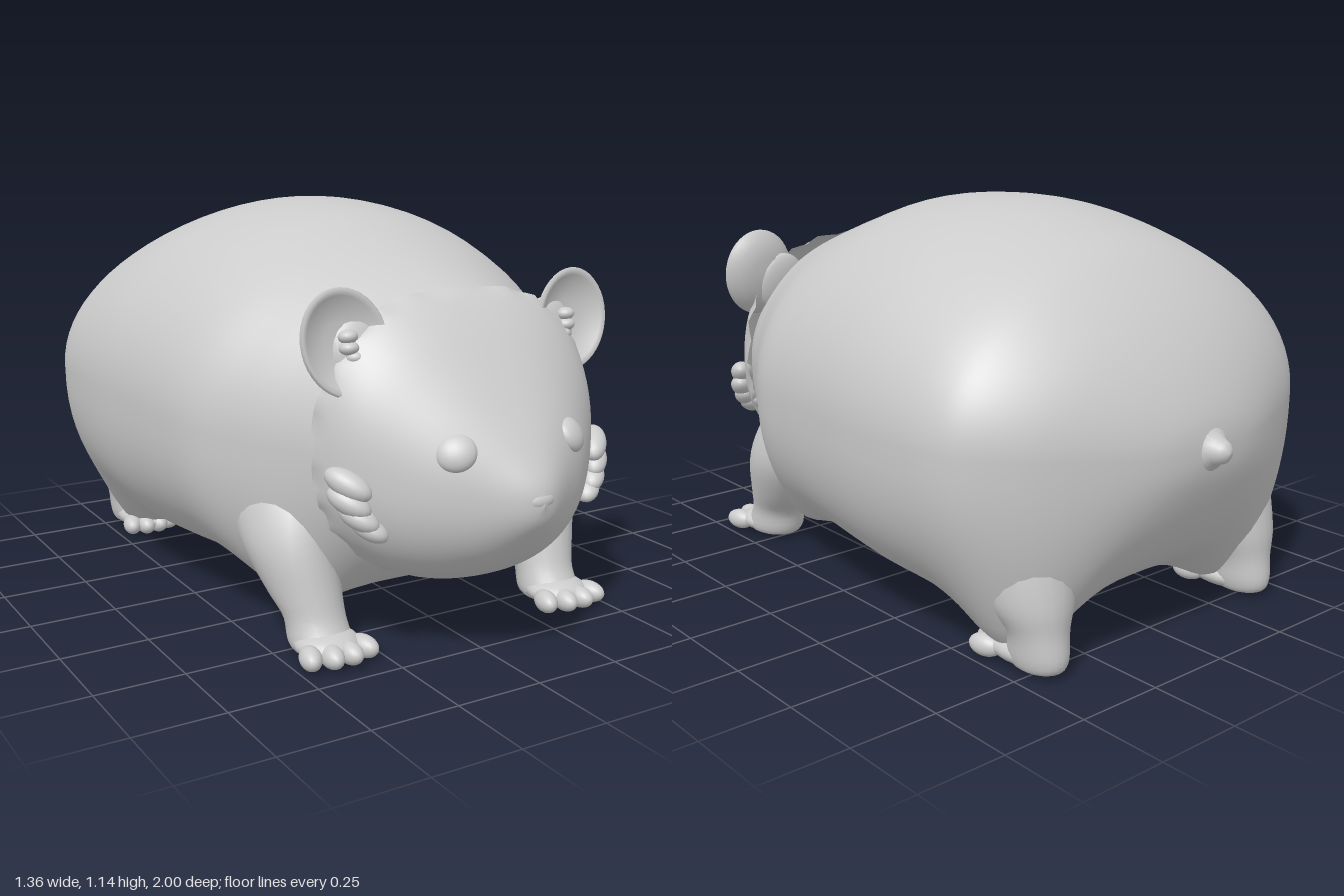
import * as THREE from 'three';

const grey = new THREE.MeshStandardMaterial({ color: 0xcccccc });

function add(parent, name, geometry) {
  const m = new THREE.Mesh(geometry, grey);
  m.name = name;
  parent.add(m);
  return m;
}

// Smooth skin through table rows; point(row, angle, t) returns [x, y, z]
function loft(rows, steps, sides, point) {
  const stride = rows[0].length;
  const spline = new THREE.CubicInterpolant(rows.map((_, i) => i), rows.flat(), stride);
  const pos = [], index = [];
  for (let i = 0; i <= steps; i++) {
    const t = i / steps;
    const row = Array.from(spline.evaluate(t * (rows.length - 1)));
    for (let j = 0; j < sides; j++) {
      pos.push(...point(row, (j / sides) * Math.PI * 2, t));
      if (i === steps) continue;
      const k = (j + 1) % sides, a = i * sides, b = a + sides;
      index.push(a + j, b + j, b + k, a + j, b + k, a + k);
    }
  }
  const g = new THREE.BufferGeometry();
  g.setAttribute('position', new THREE.Float32BufferAttribute(pos, 3));
  g.setIndex(index);
  g.computeVertexNormals();
  return g;
}

// Upright section from [z, top, bottom, halfWidth, widestY]
function section([z, top, bottom, w, mid], a, nUp, nLow) {
  const c = Math.cos(a), s = Math.sin(a);
  const n = 2 / (s > 0 ? nUp : nLow);
  const x = Math.sign(c) * Math.abs(c) ** n * Math.max(w, 0.001);
  const y = mid + Math.abs(s) ** n * (s > 0 ? top - mid : bottom - mid);
  return [x, y, z];
}

// Limb from level rings [y, x, z, radiusX, radiusZ], top to bottom
const limb = (rows, side) => loft(rows, 24, 24, ([y, x, z, rx, rz], a) =>
  [side * x + rx * Math.cos(a), y, z - rz * Math.sin(a)]);

// Stretched ball
function blob(parent, name, p, r, rot = [0, 0, 0]) {
  const m = add(parent, name, new THREE.SphereGeometry(1, 20, 14));
  m.position.set(...p);
  m.scale.set(...r);
  m.rotation.set(...rot);
  return m;
}

const BODY = [
  [0.66, 0.9, 0.25, 0.39, 0.56], [0.6, 0.945, 0.195, 0.42, 0.56],
  [0.5, 0.985, 0.14, 0.47, 0.56], [0.38, 1.025, 0.11, 0.54, 0.57],
  [0.24, 1.07, 0.09, 0.615, 0.58], [0.08, 1.12, 0.08, 0.645, 0.59],
  [-0.1, 1.14, 0.06, 0.665, 0.6], [-0.28, 1.135, 0.05, 0.68, 0.6],
  [-0.45, 1.1, 0.065, 0.68, 0.6], [-0.6, 1.045, 0.105, 0.665, 0.6],
  [-0.7, 0.98, 0.15, 0.62, 0.6], [-0.8, 0.885, 0.22, 0.505, 0.59],
  [-0.88, 0.775, 0.33, 0.34, 0.58], [-0.935, 0.66, 0.46, 0.17, 0.565],
  [-0.955, 0.565, 0.555, 0.001, 0.56],
];
const HEAD = [
  [0.998, 0.475, 0.465, 0.001, 0.47], [0.98, 0.53, 0.41, 0.055, 0.47],
  [0.93, 0.605, 0.345, 0.135, 0.475], [0.87, 0.685, 0.285, 0.225, 0.485],
  [0.8, 0.775, 0.235, 0.305, 0.5], [0.72, 0.87, 0.2, 0.38, 0.53],
  [0.65, 0.935, 0.185, 0.42, 0.555], [0.6, 0.958, 0.18, 0.435, 0.56],
];
const FRONT_LEG = [
  [0.5, 0.35, 0.3, 0.13, 0.18], [0.38, 0.385, 0.36, 0.135, 0.18],
  [0.28, 0.405, 0.41, 0.122, 0.16], [0.17, 0.395, 0.475, 0.1, 0.12],
  [0.1, 0.387, 0.525, 0.083, 0.09], [0.035, 0.385, 0.555, 0.083, 0.1],
  [0.012, 0.385, 0.56, 0.06, 0.08], [0.01, 0.385, 0.56, 0.001, 0.001],
];
const HIND_LEG = [
  [0.55, 0.36, -0.53, 0.15, 0.18], [0.36, 0.385, -0.59, 0.16, 0.2],
  [0.21, 0.4, -0.67, 0.125, 0.15], [0.12, 0.405, -0.73, 0.08, 0.092],
  [0.045, 0.405, -0.735, 0.068, 0.093], [0.012, 0.405, -0.735, 0.05, 0.07],
  [0.01, 0.405, -0.735, 0.001, 0.001],
];
// Where the belly skin is drawn down around a leg: [x, z, depth, spread]
const HAUNCHES = [[0.41, 0.43, 0.11, 0.17], [0.42, -0.68, 0.17, 0.17]];

function bodyPoint(row, a) {
  const [x, y, z] = section(row, a, 2, 2.55);
  const under = Math.min(1, Math.max(0, -1.3 * Math.sin(a)));
  let drop = 0;
  for (const [hx, hz, depth, spread] of HAUNCHES) {
    drop += depth * Math.exp(-((Math.abs(x) - hx) ** 2 + (z - hz) ** 2) / spread ** 2);
  }
  return [x, y - drop * under, z];
}

function ear(side) {
  const g = new THREE.Group();
  g.name = side > 0 ? 'leftEar' : 'rightEar';
  // Shallow dish with a rounded rim, opening forward
  const profile = [[0, -0.035], [0.06, -0.032], [0.105, -0.016], [0.13, 0.008],
    [0.136, 0.018], [0.13, 0.026], [0.116, 0.02], [0.09, 0.002], [0.05, -0.008], [0, -0.01]]
    .map(([r, y]) => new THREE.Vector2(r, y));
  const dish = new THREE.LatheGeometry(profile, 40);
  dish.rotateX(Math.PI / 2);
  dish.scale(0.9, 1.04, 1);
  add(g, 'earDish', dish);
  // Root joining the ear to the head
  blob(g, 'earRoot', [side * -0.05, -0.05, -0.02], [0.09, 0.1, 0.035]);
  // Tufts of hair inside the ear
  for (let i = 0; i < 4; i++) {
    blob(g, 'earTuft', [side * (-0.018 + 0.008 * (i % 2)), 0.01 - i * 0.028, 0.008],
      [0.026, 0.018, 0.026], [0, 0, side * 0.3]);
  }
  g.position.set(side * 0.36, 0.848, 0.625);
  g.rotation.set(-0.15, side * 0.05, side * -0.3);
  return g;
}

function foot(side, name, x, z, r, toeZ, gap) {
  const g = new THREE.Group();
  g.name = name;
  blob(g, 'pad', [side * x, 0.042, z], r);
  for (let i = 0; i < 4; i++) {
    const u = i - 1.5;
    blob(g, 'toe', [side * x + u * gap, 0.036, toeZ - Math.abs(u) * 0.018],
      [0.03, 0.031, 0.05], [0, u * 0.18, 0]);
  }
  return g;
}

export function createModel() {
  const model = new THREE.Group();
  model.name = 'rodent';

  add(model, 'body', loft(BODY, 80, 80, bodyPoint));

  // Head, with a scalloped fur edge at the back
  add(model, 'head', loft(HEAD, 48, 96, (row, a, t) => {
    const [x, y, z] = section(row, a, 2 + 0.6 * t, 2.2);
    const edge = Math.max(0, (t - 0.85) / 0.15) * 0.008 * Math.cos(a * 24);
    return [x * (1 + edge), 0.56 + (y - 0.56) * (1 + edge), z + edge];
  })).material = new THREE.MeshStandardMaterial({ color: 0xcccccc, side: THREE.DoubleSide });

  // Nose
  blob(model, 'nose', [0, 0.478, 0.965], [0.05, 0.03, 0.033]);

  // Short pointed tail with a flared base
  const tail = add(model, 'tail', new THREE.LatheGeometry(
    [[0.11, -0.035], [0.06, -0.005], [0.038, 0.015], [0.028, 0.038], [0.014, 0.049], [0, 0.052]]
      .map(([r, y]) => new THREE.Vector2(r, y)), 20));
  tail.position.set(0, 0.56, -0.948);
  tail.rotation.x = -Math.PI / 2;

  for (const side of [1, -1]) {
    const label = side > 0 ? 'left' : 'right';
    model.add(ear(side));

    // Eye, flattened against the face
    const eye = blob(model, label + 'Eye', [side * 0.178, 0.597, 0.866], [0.054, 0.05, 0.032]);
    eye.quaternion.setFromUnitVectors(new THREE.Vector3(0, 0, 1),
      new THREE.Vector3(side * 0.5, 0.5, 0.7).normalize());

    // Muzzle lobe beside the mouth
    blob(model, label + 'Muzzle', [side * 0.03, 0.435, 0.945], [0.04, 0.028, 0.035]);

    // Cheek fur lobes, swept up and back
    const cheek = new THREE.Group();
    cheek.name = label + 'CheekFur';
    const sweep = new THREE.Vector3(side * 0.55, 0.4, -0.7).normalize();
    [[0.395, 0.51, 0.715], [0.395, 0.465, 0.72], [0.375, 0.425, 0.735], [0.35, 0.395, 0.745]]
      .forEach((p, i) => {
        const lobe = blob(cheek, 'lobe', [side * p[0], p[1], p[2]],
          [0.068 - i * 0.005, 0.034 - i * 0.002, 0.036]);
        lobe.quaternion.setFromUnitVectors(new THREE.Vector3(side, 0, 0), sweep);
      });
    model.add(cheek);

    add(model, label + 'FrontLeg', limb(FRONT_LEG, side));
    model.add(foot(side, label + 'FrontPaw', 0.385, 0.59, [0.09, 0.04, 0.09], 0.672, 0.053));
    add(model, label + 'HindLeg', limb(HIND_LEG, side));
    model.add(foot(side, label + 'HindFoot', 0.4, -0.67, [0.072, 0.04, 0.13], -0.568, 0.04));
  }
  return model;
}
